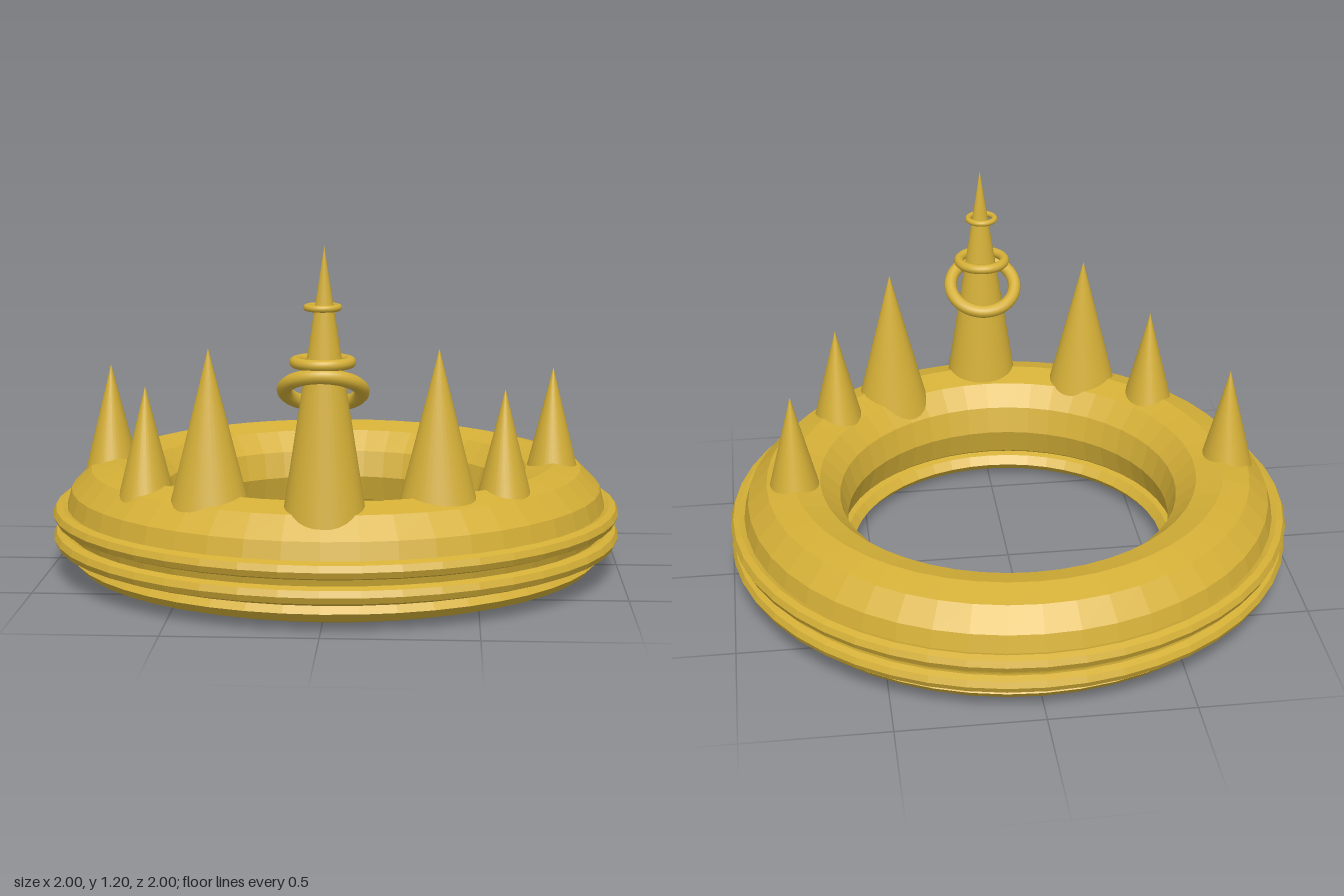
import * as THREE from 'three';

const smoothGold = new THREE.MeshStandardMaterial({ color: 0xd4af37 });
const facetGold = new THREE.MeshStandardMaterial({ color: 0xd4af37, flatShading: true });

export function createModel() {
  const crown = new THREE.Group();
  crown.name = 'crown';

  function add(name, geometry, material, x, y, z) {
    const mesh = new THREE.Mesh(geometry, material);
    mesh.name = name;
    mesh.position.set(x, y, z);
    crown.add(mesh);
    return mesh;
  }

  // Horizontal ring; height is half its thickness
  function ring(name, radius, tube, height, y, z = 0, sides = 12, segments = 48, material = facetGold) {
    const geometry = new THREE.TorusGeometry(radius, tube, sides, segments);
    geometry.rotateX(Math.PI / 2).scale(1, height / tube, 1);
    return add(name, geometry, material, 0, y, z);
  }

  // Elliptical cone whose base is sunk into the band
  function spike(name, x, z, bottom, top, rx, rz) {
    const geometry = new THREE.ConeGeometry(1, top - bottom, 32);
    geometry.scale(rx, 1, rz);
    return add(name, geometry, smoothGold, x, (top + bottom) / 2, z);
  }

  // Thick band with a flattened foot and two outer trims
  ring('band', 0.77, 0.19, 0.19, 0.195);
  ring('foot', 0.75, 0.185, 0.058, 0.058);
  ring('upperTrim', 0.968, 0.032, 0.03, 0.207, 0, 8);
  ring('lowerTrim', 0.968, 0.032, 0.03, 0.127, 0, 8);

  // Spikes: name, x, z, top, half widths at the base
  const spikes = [
    ['rightSideSpike', -0.8, 0, 0.71, 0.105, 0.125],
    ['rightSmallSpike', -0.605, 0.5, 0.71, 0.105, 0.13],
    ['rightTallSpike', -0.375, 0.67, 0.86, 0.144, 0.12],
    ['leftTallSpike', 0.365, 0.64, 0.86, 0.144, 0.12],
    ['leftSmallSpike', 0.582, 0.5, 0.71, 0.105, 0.13],
    ['leftSideSpike', 0.765, 0, 0.71, 0.105, 0.125],
  ];
  for (const [name, x, z, top, rx, rz] of spikes) spike(name, x, z, 0.29, top, rx, rz);

  // Front tower with two level rings and one tilted ring
  spike('frontTower', 0.005, 0.79, 0.28, 1.2, 0.143, 0.118);
  ring('towerRing', 0.087, 0.018, 0.018, 0.835, 0.79, 12, 40, smoothGold);
  ring('towerTopRing', 0.05, 0.011, 0.011, 1.007, 0.79, 12, 40, smoothGold);
  const tilted = ring('tiltedRing', 0.123, 0.024, 0.024, 0.74, 0.767, 12, 40, smoothGold);
  tilted.rotation.x = -Math.PI / 6;

  return crown;
}
